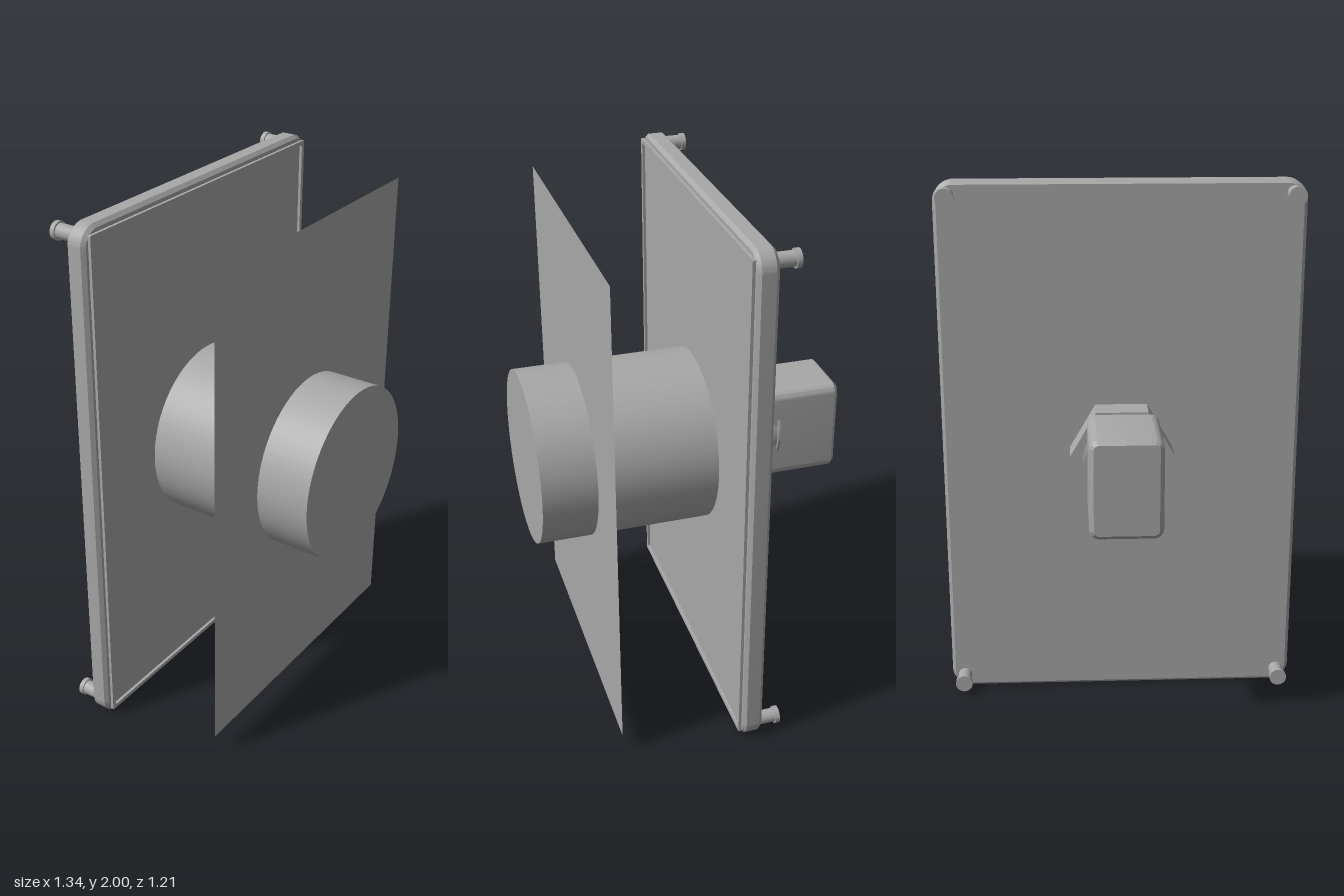
import * as THREE from 'three';
import { toCreasedNormals } from 'three/addons/utils/BufferGeometryUtils.js';

const CY = 1.004; // height of the central axis

// Rounded rectangle centred on the origin, w and h are half sizes
function roundedRect(w, h, r) {
  const s = new THREE.Shape();
  s.moveTo(-w + r, -h);
  s.lineTo(w - r, -h);
  s.absarc(w - r, -h + r, r, -Math.PI / 2, 0, false);
  s.lineTo(w, h - r);
  s.absarc(w - r, h - r, r, 0, Math.PI / 2, false);
  s.lineTo(-w + r, h);
  s.absarc(-w + r, h - r, r, Math.PI / 2, Math.PI, false);
  s.lineTo(-w, -h + r);
  s.absarc(-w + r, -h + r, r, Math.PI, Math.PI * 1.5, false);
  return s;
}

// Cylinder lying along z between two depths
function rod(radius, z0, z1, segments) {
  const g = new THREE.CylinderGeometry(radius, radius, Math.abs(z1 - z0), segments);
  g.rotateX(Math.PI / 2);
  g.translate(0, 0, (z0 + z1) / 2);
  return g;
}

export function createModel() {
  const model = new THREE.Group();
  model.name = 'wallPanelWithKnob';
  const grey = new THREE.MeshStandardMaterial({ color: 0xa8a8a8 });
  const sheetGrey = grey.clone();
  sheetGrey.side = THREE.DoubleSide;
  grey.name = 'grey';
  sheetGrey.name = 'greySheet';

  const add = (name, geometry, x = 0, y = 0, z = 0, material = grey) => {
    const mesh = new THREE.Mesh(geometry, material);
    mesh.name = name;
    mesh.position.set(x, y, z);
    model.add(mesh);
    return mesh;
  };

  // Back plate with softened edges
  const bevel = 0.013;
  const plate = new THREE.ExtrudeGeometry(roundedRect(0.67 - bevel, 1 - bevel, 0.06), {
    depth: 0.077 - 2 * bevel, bevelEnabled: true, bevelSize: bevel,
    bevelThickness: bevel, bevelSegments: 1, curveSegments: 8,
  });
  add('plate', toCreasedNormals(plate, 0.5), 0, 1, -0.133 + bevel);

  // Raised square-cornered rim on the front of the plate
  const rim = roundedRect(0.646, 0.973, 0.004);
  rim.holes.push(roundedRect(0.63, 0.957, 0.004));
  add('rim', new THREE.ExtrudeGeometry(rim, { depth: 0.012, bevelEnabled: false, curveSegments: 1 }), 0, 1, -0.057);

  // Thin cover sheet floating in front of the plate
  add('coverSheet', new THREE.PlaneGeometry(1.185, 1.84), 0, 1, 0.4, sheetGrey);

  // Large front drum passing through the sheet
  add('drum', rod(0.331, -0.057, 0.605, 64), 0, CY);

  // Corner screws on the back
  for (const x of [-0.62, 0.62]) {
    for (const y of [0.052, 1.952]) {
      add('screwShank', rod(0.027, -0.13, -0.196, 20), x, y);
      add('screwHead', rod(0.033, -0.195, -0.212, 20), x, y);
    }
  }

  // Hexagonal nut with corners pointing sideways
  const hex = new THREE.Shape();
  for (let i = 0; i < 6; i++) {
    const a = i * Math.PI / 3;
    hex[i ? 'lineTo' : 'moveTo'](0.193 * Math.cos(a), 0.193 * Math.sin(a));
  }
  add('nut', new THREE.ExtrudeGeometry(hex, { depth: 0.107, bevelEnabled: false }), 0, CY, -0.238);

  // Threaded neck
  add('neck', rod(0.137, -0.235, -0.368, 40), 0, CY);
  for (let i = 0; i < 4; i++) {
    const z = -0.291 - i * 0.024;
    add('threadRing', rod(0.147, z - 0.0045, z + 0.0045, 40), 0, CY);
  }

  // Rounded block at the rear: straight body plus a bevelled end
  const block = new THREE.ExtrudeGeometry(roundedRect(0.131, 0.183, 0.036), {
    depth: 0.28, bevelEnabled: false, curveSegments: 6,
  });
  add('block', toCreasedNormals(block, 0.5), 0, CY, -0.59);
  const cap = new THREE.ExtrudeGeometry(roundedRect(0.115, 0.167, 0.02), {
    depth: 0.02, bevelEnabled: true, bevelSize: 0.016, bevelThickness: 0.016,
    bevelSegments: 1, curveSegments: 6,
  });
  add('blockEnd', toCreasedNormals(cap, 0.5), 0, CY, -0.59);

  return model;
}
